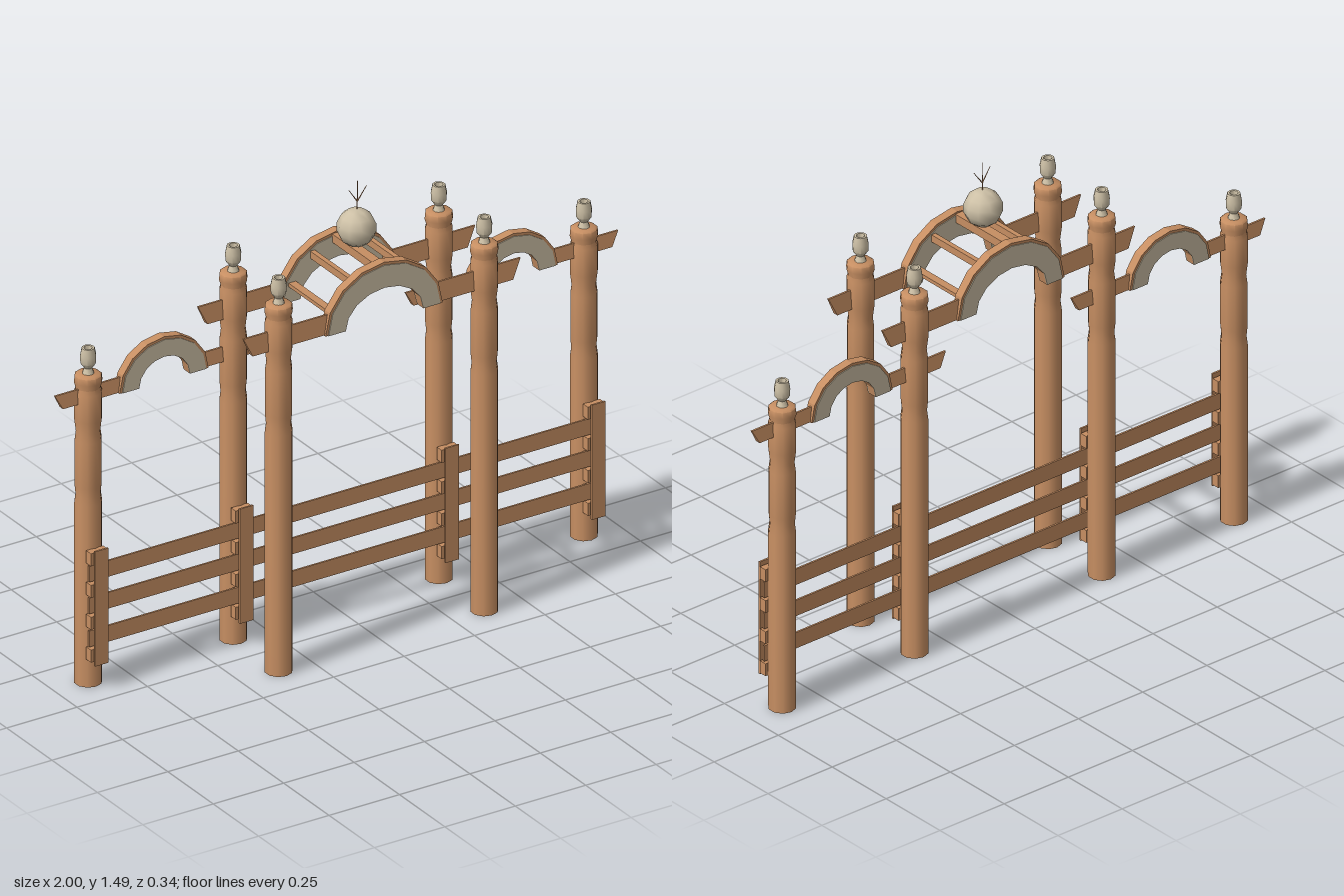
import * as THREE from 'three';
import { toCreasedNormals } from 'three/addons/utils/BufferGeometryUtils.js';

const wood = new THREE.MeshStandardMaterial({ color: 0xc68e62 });
wood.name = 'wood';
const stone = new THREE.MeshStandardMaterial({ color: 0xcdc0a6 });
stone.name = 'pale stone';

export function createModel() {
  const model = new THREE.Group();
  model.name = 'gateway';

  const add = (name, geo, mat, x = 0, y = 0, z = 0) => {
    const mesh = new THREE.Mesh(geo, mat);
    mesh.name = name;
    mesh.position.set(x, y, z);
    model.add(mesh);
    return mesh;
  };
  const box = (name, w, h, d, x, y, z) => add(name, new THREE.BoxGeometry(w, h, d), wood, x, y, z);
  const lathe = (profile, sides) => toCreasedNormals(
    new THREE.LatheGeometry(profile.map(p => new THREE.Vector2(...p)), sides), 0.8);

  // Carved log post with a small urn on top; the carving hangs from the top
  const urnGeo = lathe([[0, 0], [0.018, 0], [0.012, 0.018], [0.024, 0.035],
    [0.025, 0.06], [0.02, 0.085], [0.013, 0.085], [0.011, 0.07], [0, 0.07]], 10);
  const post = (x, z, h) => {
    add('post', lathe([[0, 0], [0.043, 0], [0.043, h - 0.43], [0.039, h - 0.4], [0.042, h - 0.37],
      [0.042, h - 0.22], [0.038, h - 0.19], [0.043, h - 0.15], [0.043, h - 0.06],
      [0.038, h - 0.045], [0.044, h - 0.025], [0.042, h - 0.005], [0.036, h], [0, h]], 10), wood, x, 0, z);
    add('urn', urnGeo, stone, x, h, z);
  };

  // Beam with slanted outer end, thinner along its top edge
  const beam = (inner, outer, y0, y1, z, slant) => {
    const dir = Math.sign(outer - inner);
    const shape = new THREE.Shape([[inner, y0], [outer - dir * slant, y0], [outer, y1], [inner, y1]]
      .map(p => new THREE.Vector2(...p)));
    const geo = new THREE.ExtrudeGeometry(shape, { depth: 0.018, bevelEnabled: false });
    geo.translate(0, 0, -0.009);
    const p = geo.attributes.position;
    for (let i = 0; i < p.count; i++) if (p.getY(i) > y1 - 0.001) p.setZ(i, p.getZ(i) * 0.35);
    geo.computeVertexNormals();
    add('beam', geo, wood, 0, 0, z);
  };

  // Faceted arch: wooden body with pale plates on both faces
  const archShape = (ro, ho, ri, hi, inset) => {
    const pts = [];
    const arc = (r, h, n, flip) => {
      for (let i = 0; i <= n; i++) {
        const a = Math.PI * (flip ? 1 - i / n : i / n);
        pts.push(new THREE.Vector2(r * Math.cos(a), h * Math.sin(a)));
      }
    };
    arc(ro - inset, ho - inset, 8, false);
    arc(ri, hi, 8, true);
    return new THREE.Shape(pts);
  };
  const arch = (x, y, z, ro, ho, ri, hi) => {
    const body = new THREE.ExtrudeGeometry(archShape(ro, ho, ri, hi, 0), { depth: 0.03, bevelEnabled: false });
    body.translate(0, 0, -0.015);
    add('archBody', body, wood, x, y, z);
    const plate = new THREE.ExtrudeGeometry(archShape(ro, ho, ri, hi, 0.009), { depth: 0.004, bevelEnabled: false });
    plate.translate(0, 0, -0.002);
    for (const s of [1, -1]) add('archFace', plate, stone, x, y, z + s * 0.016);
  };

  // Central gate: four tall posts, two arches with beams
  for (const z of [0.125, -0.125]) {
    arch(0, 1.083, z, 0.208, 0.192, 0.138, 0.108);
    for (const s of [-1, 1]) {
      post(s * 0.365, z, 1.235);
      beam(s * 0.165, s * 0.492, 1.085, 1.148, z, 0.03);
    }
  }

  // Side bays: shorter outer posts and smaller arches
  for (const s of [-1, 1]) {
    post(s * 0.88, -0.125, 1.035);
    arch(s * 0.62, 0.942, -0.125, 0.158, 0.148, 0.09, 0.083);
    beam(s * 0.74, s, 0.943, 0.99, -0.125, 0.025);
    beam(s * 0.5, s * 0.245, 0.943, 0.99, -0.125, 0.025);
  }

  // Cross bars joining the two central arches
  box('crossBar', 0.032, 0.028, 0.24, -0.008, 1.255, 0);
  for (const s of [-1, 1]) {
    box('crossBar', 0.016, 0.024, 0.24, s * 0.095, 1.222, 0);
    box('crossBar', 0.026, 0.012, 0.24, s * 0.167, 1.142, 0);
  }

  // Ball with a three-stranded finial
  add('ball', toCreasedNormals(new THREE.SphereGeometry(0.061, 10, 7), 0.9), stone, -0.008, 1.335, 0);
  const strand = (x0, y0, x1, y1) => {
    const len = Math.hypot(x1 - x0, y1 - y0);
    const mesh = add('finialStrand', new THREE.CylinderGeometry(0.001, 0.002, len, 5), wood,
      (x0 + x1) / 2, (y0 + y1) / 2, 0);
    mesh.rotation.z = -Math.atan2(x1 - x0, y1 - y0);
  };
  strand(-0.006, 1.385, -0.004, 1.49);
  strand(-0.005, 1.42, -0.035, 1.465);
  strand(-0.005, 1.42, 0.028, 1.465);

  // Fence: three thin rails, held by upright boards and spacer blocks
  for (const y of [0.172, 0.283, 0.39]) box('rail', 1.82, 0.054, 0.006, 0, y, -0.075);
  for (const x of [-0.882, -0.368, 0.363, 0.882]) {
    box('fenceBoard', 0.048, 0.385, 0.006, x, 0.282, -0.05);
    for (const y of [0.12, 0.23, 0.337, 0.443]) box('spacer', 0.06, 0.042, 0.026, x, y, -0.073);
  }

  return model;
}
